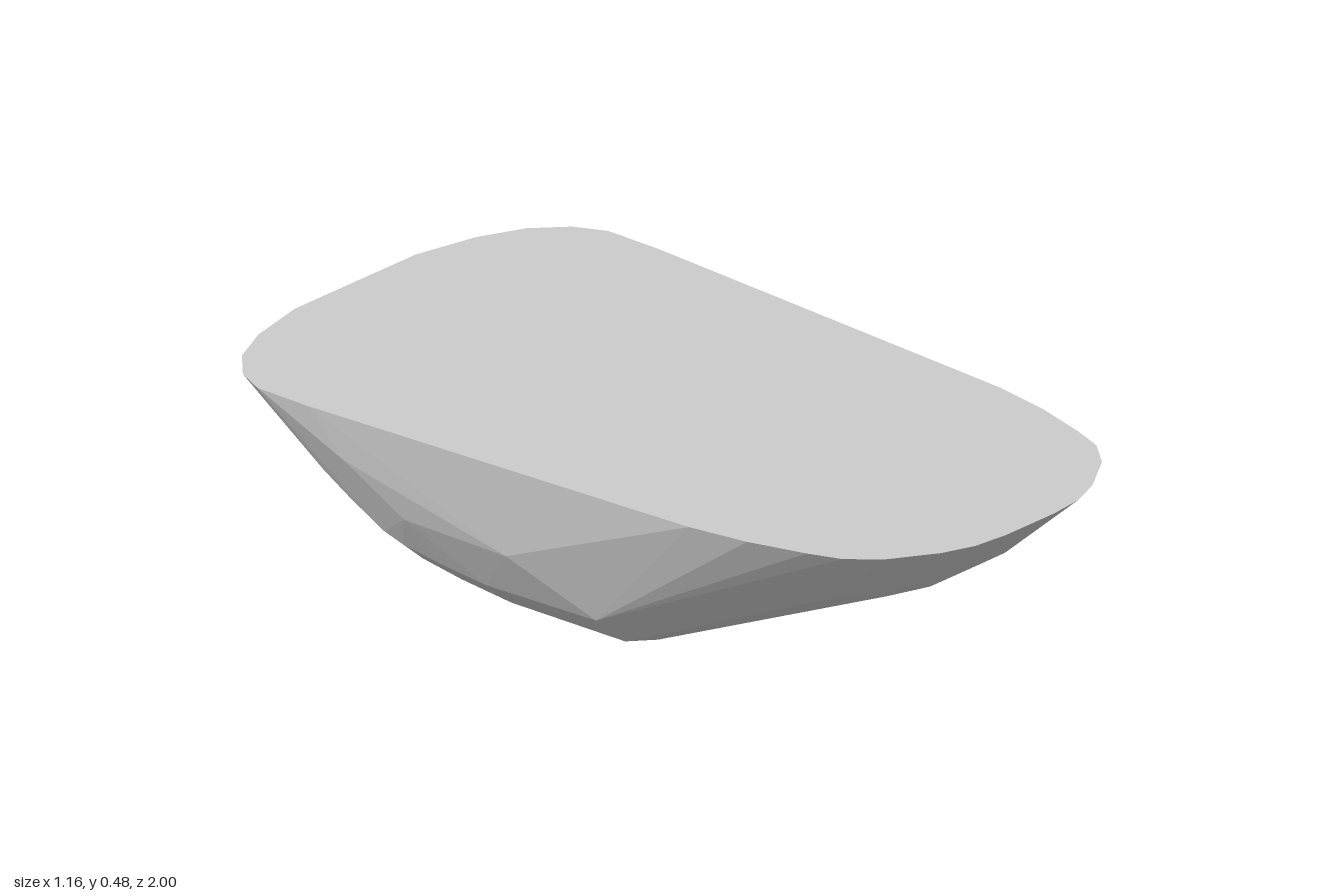
import * as THREE from 'three';
import { ConvexGeometry } from 'three/addons/geometries/ConvexGeometry.js';

const TOP = 0.48;

export function createModel() {
  const points = [];
  const addPair = (x, y, z) => {
    for (const s of [-1, 1]) points.push(new THREE.Vector3(s * x, Math.min(y, TOP), z));
  };

  // Flat top rim, half outline from back to front: [x, z]
  const rim = [
    [0.2, -1], [0.36, -0.965], [0.47, -0.915], [0.545, -0.845], [0.58, -0.77], [0.58, -0.62],
    [0.515, 0.45], [0.49, 0.6], [0.45, 0.74], [0.42, 0.82], [0.36, 0.89], [0.25, 0.96],
    [0.17, 0.99], [0.08, 1],
  ];
  for (const [x, z] of rim) addPair(x, TOP, z);

  // Keel from the bottom up the back: [z, y]
  const keel = [
    [0.15, 0.04], [0.07, 0.02], [-0.08, 0.007], [-0.2, 0], [-0.35, 0.015], [-0.47, 0.035],
    [-0.55, 0.065], [-0.65, 0.13], [-0.73, 0.19], [-0.8, 0.255], [-0.88, 0.335], [-0.94, 0.405],
  ];
  // Rounded cross-section: [half width, inset along the keel's inward normal]
  const section = [[0.07, 0], [0.2, 0.015], [0.3, 0.035], [0.38, 0.065], [0.465, 0.135]];
  keel.forEach(([z, y], i) => {
    const a = keel[Math.max(i - 1, 0)], b = keel[Math.min(i + 1, keel.length - 1)];
    const dz = b[0] - a[0], dy = b[1] - a[1], len = Math.hypot(dz, dy);
    const widen = 1 + 0.2 * (y / TOP);
    for (const [x, inset] of section) {
      // The front end of the keel is a little narrower
      if (i === 0 && x > 0.3) continue;
      const px = i === 0 ? x * 0.94 : x * widen;
      const py = y + (i === 0 ? inset * 0.15 : (-dz / len) * inset);
      const pz = z + (i === 0 ? 0 : (dy / len) * inset);
      if (py < TOP) addPair(px, py, pz);
    }
  });

  // Front slope and nose: [x, y, z]
  for (const p of [
    [0.465, 0.145, 0.13], [0.38, 0.07, 0.14],
    [0.08, 0.29, 0.775], [0.2, 0.3, 0.755], [0.3, 0.315, 0.7],
    [0.1, 0.33, 0.835], [0.2, 0.342, 0.815],
  ]) addPair(...p);

  // Bulge of the side walls
  for (const p of [
    [0.53, 0.26, -0.08], [0.53, 0.26, -0.38], [0.563, 0.37, -0.53], [0.45, 0.15, -0.4],
  ]) addPair(...p);

  const hull = new THREE.Mesh(
    new ConvexGeometry(points),
    new THREE.MeshStandardMaterial({ color: 0xcccccc, flatShading: true })
  );
  hull.name = 'hull';

  const group = new THREE.Group();
  group.name = 'flatToppedHull';
  group.add(hull);
  return group;
}
